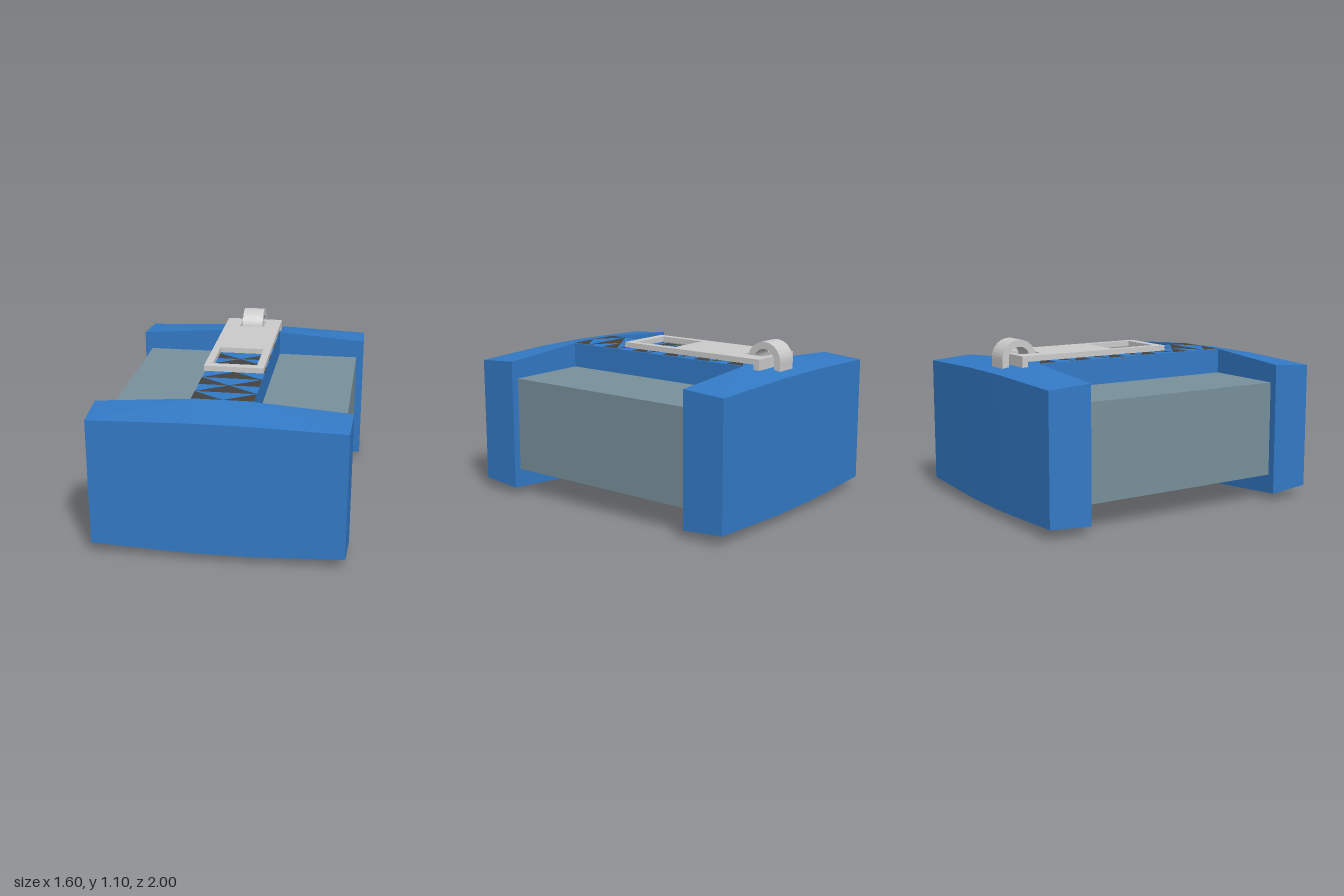
import * as THREE from 'three';
import { ConvexGeometry } from 'three/addons/geometries/ConvexGeometry.js';

const material = (color) => new THREE.MeshStandardMaterial({ color, flatShading: true });

export function createModel() {
  const group = new THREE.Group();
  const blue = material(0x337ac6), slate = material(0x78909c);
  const dark = material(0x424242), grey = material(0xcccccc);
  dark.side = THREE.DoubleSide;

  const add = (name, geometry, mat) => {
    const mesh = new THREE.Mesh(geometry, mat);
    mesh.name = name;
    group.add(mesh);
    return mesh;
  };
  // Box given by its low and high corners
  const box = (name, mat, [x0, y0, z0], [x1, y1, z1]) =>
    add(name, new THREE.BoxGeometry(x1 - x0, y1 - y0, z1 - z0), mat)
      .position.set((x0 + x1) / 2, (y0 + y1) / 2, (z0 + z1) / 2);

  // Faceted end caps, tapering towards the outer face
  for (const s of [1, -1]) {
    const points = [];
    for (const m of [1, -1]) {
      for (const [x, y, z] of [
        [0.8, 0.05, 0.71], [0.195, 0, 0.71], [0.8, 0.91, 0.71], [0.195, 0.955, 0.71],
        [0.79, 0.07, 0.99], [0.195, 0.05, 1], [0.79, 0.89, 0.99], [0.195, 0.91, 1],
      ]) points.push(new THREE.Vector3(m * x, y, s * z));
    }
    add(s > 0 ? 'frontCap' : 'backCap', new ConvexGeometry(points), blue);
  }

  // Central spine and the two side blocks
  box('spine', blue, [-0.195, 0, -0.71], [0.195, 0.955, 0.71]);
  box('leftBlock', slate, [0.195, 0.17, -0.71], [0.75, 0.79, 0.71]);
  box('rightBlock', slate, [-0.75, 0.17, -0.71], [-0.195, 0.79, 0.71]);

  // Alternating dark triangles along the top of the spine
  const rows = 11, step = 1.42 / rows, w = 0.195;
  const triangles = [];
  for (let i = 0; i < rows; i++) {
    const z0 = -0.71 + i * step, z1 = z0 + step;
    if (i % 2) triangles.push([[0, z0], [-w, z1], [w, z1]]);
    else triangles.push([[w, z0], [0, z1], [w, z1]], [[-w, z0], [-w, z1], [0, z1]]);
  }
  const pattern = triangles.map((t) => new THREE.Shape(t.map(([x, z]) => new THREE.Vector2(x, -z))));
  add('trianglePattern', new THREE.ShapeGeometry(pattern).rotateX(-Math.PI / 2), dark).position.y = 0.958;

  // Clip plate with a window and a slot for the loop
  const rect = (Type, x, z0, z1) => new Type([[-x, -z1], [x, -z1], [x, -z0], [-x, -z0]]
    .map((p) => new THREE.Vector2(...p)));
  const plate = rect(THREE.Shape, 0.195, -0.83, 0.25);
  plate.holes.push(rect(THREE.Path, 0.145, -0.14, 0.19), rect(THREE.Path, 0.085, -0.79, -0.64));
  const plateGeometry = new THREE.ExtrudeGeometry(plate, { depth: 0.035, bevelEnabled: false });
  add('clipPlate', plateGeometry.rotateX(-Math.PI / 2), grey).position.y = 0.975;
  box('clipLip', grey, [-0.195, 0.94, -0.83], [0.195, 0.975, -0.79]);

  // Arched loop rooted in the back cap
  const R = 0.12, r = 0.075, foot = -0.06;
  const arch = new THREE.Shape();
  arch.moveTo(R, foot);
  arch.lineTo(R, 0);
  arch.absarc(0, 0, R, 0, Math.PI, false);
  arch.lineTo(-R, foot);
  arch.lineTo(-r, foot);
  arch.lineTo(-r, 0);
  arch.absarc(0, 0, r, Math.PI, 0, true);
  arch.lineTo(r, foot);
  const loop = new THREE.ExtrudeGeometry(arch, { depth: 0.144, bevelEnabled: false, curveSegments: 10 });
  loop.translate(0, 0, -0.072).rotateY(Math.PI / 2);
  add('loop', loop, grey).position.set(0, 0.98, -0.785);

  return group;
}
